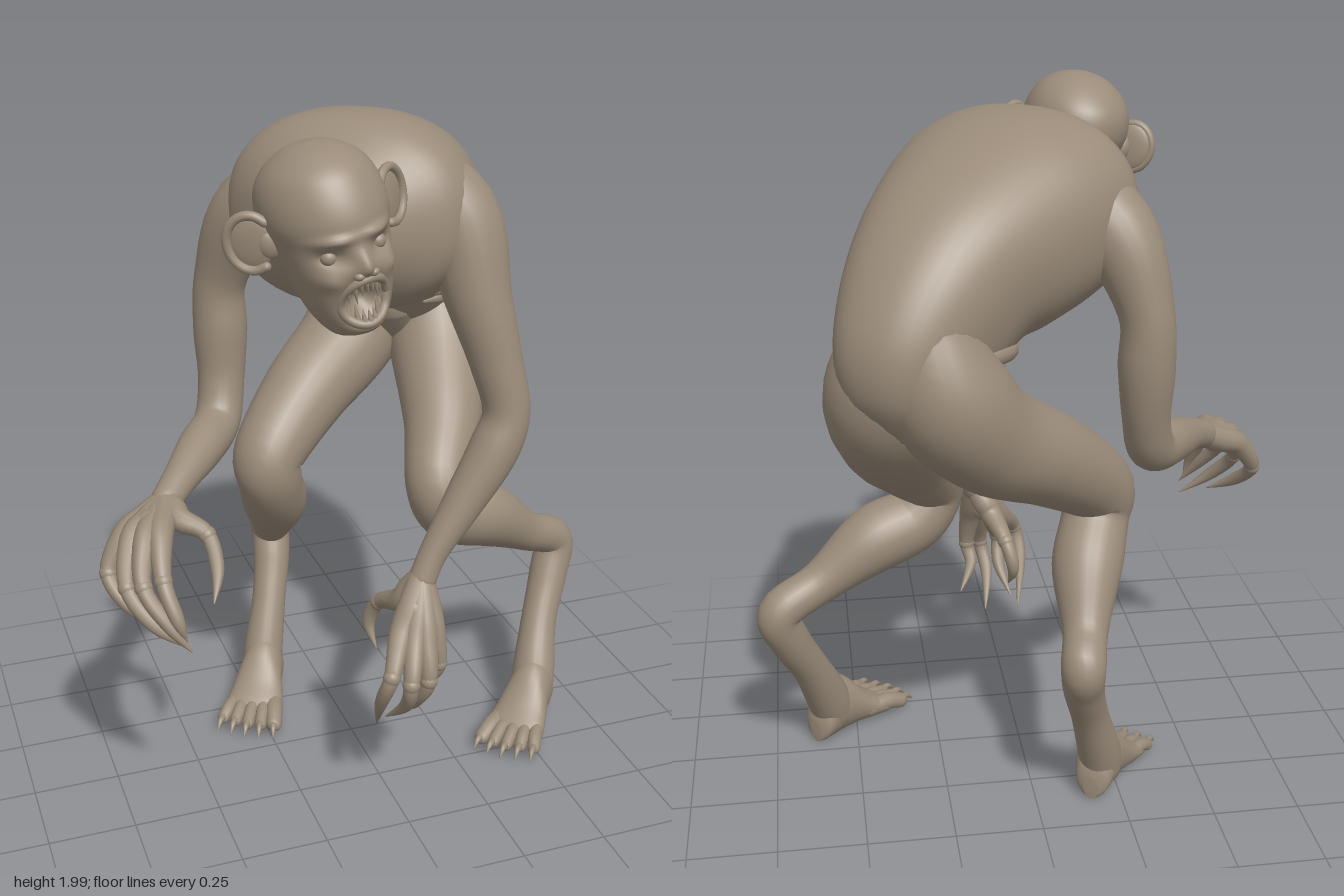
import * as THREE from 'three';

const skinMat = new THREE.MeshStandardMaterial({ color: 0x9a8b79 });
skinMat.name = 'brown skin';

// Catmull-Rom blend of rows of numbers into n + 1 smooth rows
function blend(rows, n) {
  const at = (i) => rows[Math.max(0, Math.min(rows.length - 1, i))];
  return Array.from({ length: n + 1 }, (_, k) => {
    const s = (k / n) * (rows.length - 1);
    const i = Math.min(Math.floor(s), rows.length - 2), t = s - i;
    return rows[0].map((_, c) => {
      const [a, b, d, e] = [at(i - 1)[c], at(i)[c], at(i + 1)[c], at(i + 2)[c]];
      return b + 0.5 * t * (d - a + t * (2 * a - 5 * b + 4 * d - e + t * (3 * (b - d) + e - a)));
    });
  });
}

// Closed skin over a list of rings with equal point counts
function skin(name, rings) {
  const m = rings[0].length, pos = [], idx = [];
  rings.forEach((r) => r.forEach((p) => pos.push(p.x, p.y, p.z)));
  for (let i = 0; i < rings.length - 1; i++) {
    for (let j = 0; j < m; j++) {
      const a = i * m + j, a1 = i * m + (j + 1) % m;
      idx.push(a, a1, a + m, a1, a1 + m, a + m);
    }
  }
  [0, rings.length - 1].forEach((ri, end) => {
    const c = new THREE.Vector3();
    rings[ri].forEach((p) => c.addScaledVector(p, 1 / m));
    const ci = pos.length / 3;
    pos.push(c.x, c.y, c.z);
    for (let j = 0; j < m; j++) {
      const a = ri * m + j, a1 = ri * m + (j + 1) % m;
      if (end) idx.push(ci, a, a1); else idx.push(ci, a1, a);
    }
  });
  const g = new THREE.BufferGeometry();
  g.setAttribute('position', new THREE.Float32BufferAttribute(pos, 3));
  g.setIndex(idx);
  g.computeVertexNormals();
  const mesh = new THREE.Mesh(g, skinMat);
  mesh.name = name;
  return mesh;
}

const ring = (m, fn) => Array.from({ length: m }, (_, j) => fn((j / m) * Math.PI * 2));

// Round tube through [x, y, z, radius] points, with domed ends
function limb(name, pts, sides = 24, steps = 6) {
  const rows = blend(pts, (pts.length - 1) * steps);
  const P = rows.map((r) => new THREE.Vector3(r[0], r[1], r[2]));
  const N = new THREE.Vector3(0.31, 0.17, 0.93), rings = [];
  P.forEach((p, i) => {
    const T = P[Math.min(i + 1, P.length - 1)].clone().sub(P[Math.max(i - 1, 0)]).normalize();
    N.addScaledVector(T, -N.dot(T)).normalize();
    const B = T.clone().cross(N), r = Math.max(rows[i][3], 0.001);
    const add = (q) => rings.push(ring(sides, (a) => p.clone()
      .addScaledVector(T, r * Math.sin(q))
      .addScaledVector(N, r * Math.cos(q) * Math.cos(a))
      .addScaledVector(B, r * Math.cos(q) * Math.sin(a))));
    if (i === 0) [-1.45, -1.15, -0.8, -0.4].forEach(add);
    add(0);
    if (i === P.length - 1) [0.4, 0.8, 1.15, 1.45].forEach(add);
  });
  return skin(name, rings);
}

function ball(name, r, x, y, z, sx = 1, sy = 1, sz = 1) {
  const b = new THREE.Mesh(new THREE.SphereGeometry(r, 20, 14), skinMat);
  b.name = name;
  b.position.set(x, y, z);
  b.scale.set(sx, sy, sz);
  return b;
}

// Hunched torso: rows are back z, back y, belly z, belly y, half width
function buildTorso() {
  const g = new THREE.Group();
  g.name = 'torso';
  g.rotation.y = -0.685;
  const rows = blend([
    [0.26, 1.80, 0.27, 1.62, 0.10], [0.15, 1.90, 0.18, 1.51, 0.25], [0.03, 1.965, 0.1, 1.45, 0.34],
    [-0.15, 1.95, -0.03, 1.41, 0.34], [-0.35, 1.87, -0.16, 1.38, 0.295], [-0.52, 1.765, -0.24, 1.37, 0.25],
    [-0.65, 1.63, -0.29, 1.33, 0.215], [-0.73, 1.48, -0.34, 1.28, 0.18], [-0.73, 1.34, -0.42, 1.22, 0.14],
    [-0.66, 1.22, -0.50, 1.18, 0.07]], 54);
  const point = ([tz, ty, bz, by, w], a, out = 0) => {
    const p = (v) => Math.sign(v) * Math.abs(v) ** 0.88;
    const c = p(Math.cos(a)), s = p(Math.sin(a));
    return new THREE.Vector3((w + out) * c, (ty + by) / 2 + (by - ty) / 2 * s, (tz + bz) / 2 + (bz - tz) / 2 * s);
  };
  g.add(skin('trunk', rows.map((r) => ring(48, (a) => point(r, a)))));
  // Skin folds running along the waist above each hip
  for (const shift of [0, 4]) {
    for (const side of [0, 1]) {
      const pts = [[46, -0.3], [44, 0], [41, 0.35], [38, 0.7], [36, 1.0]].map(([k, a], i) => {
        const q = point(rows[k - shift], side ? Math.PI - a : a, -0.012);
        return [q.x, q.y, q.z, [0.008, 0.022, 0.028, 0.026, 0.01][i]];
      });
      g.add(limb('waistFold', pts, 12));
    }
  }
  g.add(limb('crotch', [[0, 1.32, -0.38, 0.08], [0, 1.24, -0.42, 0.06], [0, 1.17, -0.45, 0.035]], 16));
  return g;
}

// Foot with clawed toes; side +1 puts the big toe on -x
function buildFoot(name, x, z, yaw, side) {
  const g = new THREE.Group();
  g.name = name;
  g.position.set(x, 0, z);
  g.rotation.y = yaw;
  const rows = blend([[-0.085, 0.02, 0.07], [-0.07, 0.05, 0.12], [-0.02, 0.064, 0.2], [0.04, 0.07, 0.18],
    [0.1, 0.084, 0.115], [0.16, 0.092, 0.07], [0.19, 0.07, 0.035]], 24);
  g.add(skin('sole', rows.map(([fz, w, h]) => ring(24, (a) =>
    new THREE.Vector3(w * Math.cos(a), 0.006 + h / 2 + h / 2 * Math.sin(a), fz)))));
  for (let i = 0; i < 5; i++) {
    const tx = side * (-0.07 + i * 0.036), r = i ? 0.021 : 0.027, len = 0.235 - 0.01 * Math.abs(i - 1.5);
    g.add(limb('toe', [[tx * 0.8, 0.055, 0.1, r], [tx, 0.052, 0.17, r], [tx * 1.15, 0.035, len, r * 0.9]], 12));
    g.add(limb('toeClaw', [[tx * 1.15, 0.042, len, 0.012], [tx * 1.2, 0.04, len + 0.03, 0.009],
      [tx * 1.25, 0.018, len + 0.055, 0.001]], 8));
  }
  return g;
}

// Hand from a wrist point, a palm centre and finger paths of four points each
function buildHand(name, wrist, palm, fingers, thumb) {
  const g = new THREE.Group();
  g.name = name;
  g.add(ball('palm', 0.05, ...palm));
  [...fingers, thumb].forEach((f, i) => {
    const isThumb = i === fingers.length;
    const r = [0.034, 0.023, 0.019, 0.002];
    const mid = f[0].map((v, c) => (v + wrist[c]) / 2);
    g.add(limb(isThumb ? 'thumb' : 'finger',
      [[...wrist, 0.037], [...mid, 0.039], ...f.map((p, k) => [...p, r[k]])], 12, 5));
    g.add(ball('knuckle', 0.025, ...f[1]));
  });
  return g;
}

function buildHead() {
  const g = new THREE.Group();
  g.name = 'head';
  g.position.set(-0.22, 1.78, 0.43);
  g.rotation.set(0, 0.12, 0.2, 'ZYX');
  // Height, centre depth, half width, half depth
  const rows = blend([[-0.25, 0.07, 0.02, 0.02], [-0.235, 0.07, 0.065, 0.07], [-0.18, 0.055, 0.1, 0.125],
    [-0.09, 0.035, 0.125, 0.165], [0, 0.01, 0.145, 0.18], [0.06, 0, 0.157, 0.19], [0.12, -0.005, 0.148, 0.175],
    [0.17, 0, 0.118, 0.135], [0.205, 0, 0.065, 0.075], [0.218, 0, 0.01, 0.01]], 72);
  // Face relief: x, y, push, width, height
  const relief = [[0, -0.145, -0.08, 0.05, 0.048], [0, -0.045, 0.022, 0.018, 0.035], [0, -0.062, 0.006, 0.035, 0.014],
    [0, -0.22, 0.015, 0.05, 0.018]];
  for (const s of [-1, 1]) {
    relief.push([s * 0.065, -0.02, -0.03, 0.03, 0.018], [s * 0.06, 0.022, 0.018, 0.045, 0.013],
      [s * 0.09, -0.075, 0.016, 0.025, 0.02]);
  }
  g.add(skin('skull', rows.map(([y, zc, rx, rz]) => ring(80, (a) => {
    const p = new THREE.Vector3(rx * Math.cos(a), y, zc - rz * Math.sin(a));
    const front = Math.max(0, -Math.sin(a)) ** 0.5;
    for (const [x, ry, d, w, h] of relief) {
      p.z += d * front * Math.exp(-(((p.x - x) / w) ** 2) - ((y - ry) / h) ** 2);
    }
    return p;
  }))));
  // Lips round the open mouth
  const lips = Array.from({ length: 13 }, (_, i) => {
    const a = (i / 12) * Math.PI * 2;
    return [0.062 * Math.cos(a), -0.145 + 0.062 * Math.sin(a), 0.178 - 0.035 * Math.cos(a) ** 2 + 0.014 * Math.sin(a), 0.012];
  });
  g.add(limb('lips', lips, 10, 4));
  // Pointed teeth
  for (const up of [1, -1]) {
    for (let i = -3; i <= 3; i++) {
      const long = Math.abs(i) === 2 ? 0.05 : 0.036;
      const t = new THREE.Mesh(new THREE.ConeGeometry(0.009, long, 8), skinMat);
      t.name = 'tooth';
      t.position.set(i * 0.014, -0.145 + up * (0.056 - 0.002 * i * i - long / 2), 0.174 + up * 0.009 - 0.0028 * i * i);
      t.rotation.x = up > 0 ? Math.PI : 0;
      g.add(t);
    }
  }
  for (const s of [-1, 1]) {
    g.add(ball('eye', 0.021, s * 0.066, -0.02, 0.142));
    g.add(ball('nostril', 0.013, s * 0.019, -0.07, 0.195, 1.1, 0.8, 1));
    // Cupped ear angled outwards and backwards
    const ear = new THREE.Group();
    ear.name = 'ear';
    ear.position.set(s * 0.188, 0.022, -0.015);
    ear.rotation.y = -s * 0.95;
    ear.add(ball('earCup', 1, 0, 0, 0, 0.014, 0.068, 0.058));
    const rim = Array.from({ length: 11 }, (_, i) => {
      const a = -2.4 + i * 0.44;
      return [s * 0.008, 0.07 * Math.sin(a + Math.PI), 0.06 * Math.cos(a + Math.PI), 0.012];
    });
    ear.add(limb('earRim', rim, 10, 4));
    ear.add(ball('earRoot', 0.035, -s * 0.012, -0.01, 0.035, 0.8, 1.3, 1));
    g.add(ear);
  }
  return g;
}

export function createModel() {
  const model = new THREE.Group();
  model.name = 'creature';
  model.add(buildTorso(), buildHead());
  model.add(limb('neck', [[-0.06, 1.77, 0.05, 0.15], [-0.15, 1.75, 0.19, 0.135], [-0.19, 1.74, 0.28, 0.112],
    [-0.2, 1.76, 0.38, 0.1]]));

  // Arms
  model.add(limb('leftArm', [[0.1, 1.8, 0.05, 0.13], [0.24, 1.7, 0.16, 0.12], [0.285, 1.48, 0.235, 0.092],
    [0.325, 1.31, 0.275, 0.074], [0.35, 1.17, 0.3, 0.067], [0.31, 1.06, 0.31, 0.071], [0.22, 0.92, 0.32, 0.058],
    [0.13, 0.79, 0.335, 0.041], [0.09, 0.71, 0.345, 0.04]]));
  model.add(limb('rightArm', [[-0.06, 1.79, -0.06, 0.13], [-0.23, 1.66, -0.2, 0.113], [-0.305, 1.46, -0.27, 0.077],
    [-0.312, 1.3, -0.27, 0.079], [-0.32, 1.15, -0.25, 0.068], [-0.35, 1.04, -0.2, 0.068], [-0.43, 1.01, -0.09, 0.067],
    [-0.52, 0.98, 0.03, 0.05], [-0.58, 0.95, 0.1, 0.043]]));

  // Hands
  model.add(buildHand('leftHand', [0.085, 0.71, 0.345], [0.055, 0.635, 0.375], [
    [[0, 0.58, 0.41], [-0.055, 0.5, 0.49], [-0.07, 0.4, 0.45], [-0.05, 0.27, 0.36]],
    [[0.035, 0.57, 0.43], [0, 0.47, 0.5], [0, 0.38, 0.46], [-0.03, 0.3, 0.38]],
    [[0.07, 0.57, 0.43], [0.06, 0.46, 0.48], [0.045, 0.37, 0.43], [0.06, 0.28, 0.34]],
    [[0.1, 0.58, 0.41], [0.11, 0.48, 0.43], [0.1, 0.42, 0.4], [0.14, 0.35, 0.34]]],
  [[0.04, 0.63, 0.3], [0.01, 0.58, 0.21], [-0.01, 0.5, 0.18], [0, 0.43, 0.22]]));
  model.add(buildHand('rightHand', [-0.58, 0.95, 0.1], [-0.64, 0.915, 0.17], [
    [[-0.71, 0.89, 0.15], [-0.765, 0.8, 0.18], [-0.73, 0.73, 0.25], [-0.66, 0.68, 0.31]],
    [[-0.7, 0.9, 0.2], [-0.735, 0.8, 0.28], [-0.68, 0.71, 0.35], [-0.59, 0.64, 0.38]],
    [[-0.67, 0.91, 0.24], [-0.7, 0.82, 0.33], [-0.65, 0.73, 0.4], [-0.6, 0.66, 0.43]],
    [[-0.63, 0.92, 0.25], [-0.65, 0.84, 0.35], [-0.63, 0.75, 0.41], [-0.61, 0.69, 0.42]]],
  [[-0.56, 0.93, 0.19], [-0.5, 0.9, 0.24], [-0.49, 0.82, 0.3], [-0.52, 0.76, 0.37]]));

  // Legs, from the buttocks down to the ankles
  model.add(limb('leftLeg', [[0.36, 1.5, -0.41, 0.12], [0.4, 1.32, -0.4, 0.162], [0.385, 1.165, -0.29, 0.15],
    [0.32, 0.995, -0.08, 0.118], [0.25, 0.86, 0.06, 0.096], [0.3, 0.755, 0.05, 0.096], [0.43, 0.705, 0.015, 0.1],
    [0.59, 0.6, -0.03, 0.064], [0.715, 0.53, -0.075, 0.063], [0.69, 0.42, -0.045, 0.06], [0.635, 0.29, 0.015, 0.056],
    [0.59, 0.15, 0.085, 0.067], [0.575, 0.08, 0.11, 0.064]]));
  model.add(limb('rightLeg', [[0.3, 1.5, -0.47, 0.12], [0.25, 1.32, -0.48, 0.162], [0.13, 1.17, -0.41, 0.15],
    [-0.04, 1.06, -0.3, 0.132], [-0.195, 0.925, -0.185, 0.108], [-0.195, 0.83, -0.185, 0.097], [-0.155, 0.715, -0.28, 0.1],
    [-0.13, 0.58, -0.4, 0.065], [-0.11, 0.515, -0.49, 0.063], [-0.12, 0.42, -0.45, 0.058], [-0.15, 0.3, -0.39, 0.054],
    [-0.19, 0.15, -0.33, 0.063], [-0.2, 0.08, -0.31, 0.062]]));
  model.add(buildFoot('leftFoot', 0.57, 0.115, -0.78, 1), buildFoot('rightFoot', -0.2, -0.3, -0.5, -1));
  return model;
}
